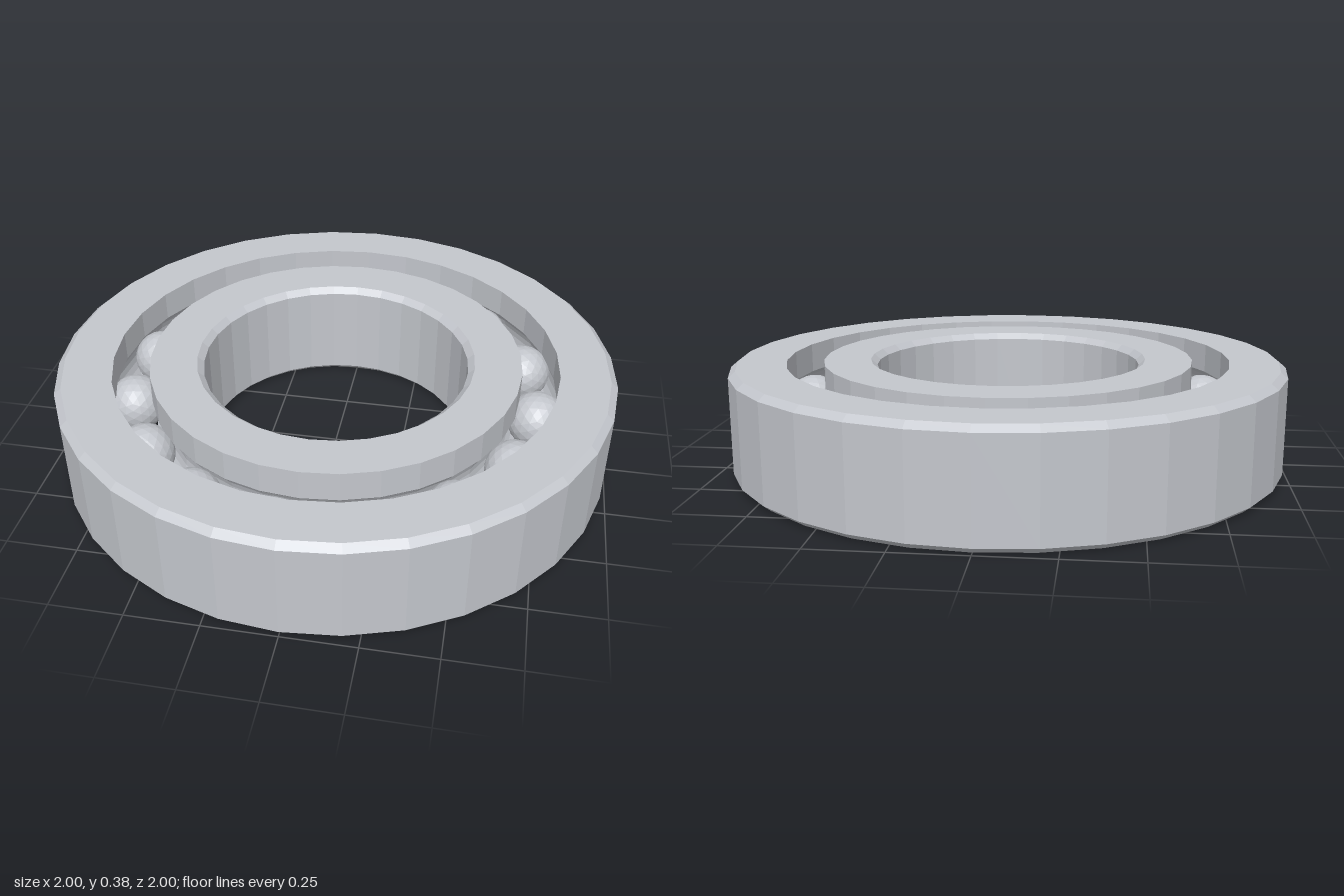
import * as THREE from 'three';

const HEIGHT = 0.384;
const MID = HEIGHT / 2;
const CHAMFER = 0.021;
const SIDES = 32;
const PITCH = 0.735; // radius of the circle the balls run on
const BALL_RADIUS = 0.104;
const BALL_COUNT = 15;
const GROOVE_RADIUS = 0.108;

// Arc of a raceway groove in profile, between two angles about the ball centre
function grooveArc(from, to, steps = 8) {
  return Array.from({ length: steps + 1 }, (_, i) => {
    const a = from + ((to - from) * i) / steps;
    return [PITCH + GROOVE_RADIUS * Math.cos(a), MID + GROOVE_RADIUS * Math.sin(a)];
  });
}

// Revolves a closed, counter-clockwise profile into a ring
function makeRing(name, profile, material) {
  const points = [...profile, profile[0]].map(([r, y]) => new THREE.Vector2(r, y));
  const mesh = new THREE.Mesh(new THREE.LatheGeometry(points, SIDES), material);
  mesh.name = name;
  return mesh;
}

export function createModel() {
  const model = new THREE.Group();
  model.name = 'ballBearing';

  const steel = new THREE.MeshStandardMaterial({ color: 0xc4c7cd });
  steel.name = 'steel';
  steel.flatShading = true;

  // Outer ring: chamfered outside, grooved inside
  const outerRace = 0.8;
  const outerAngle = Math.acos((outerRace - PITCH) / GROOVE_RADIUS);
  model.add(makeRing('outerRing', [
    [outerRace, 0],
    [0.975, 0],
    [1, CHAMFER],
    [1, HEIGHT - CHAMFER],
    [0.975, HEIGHT],
    [outerRace, HEIGHT],
    ...grooveArc(outerAngle, -outerAngle),
  ], steel));

  // Inner ring: grooved outside, chamfered bore
  const innerRace = 0.668;
  const innerAngle = Math.acos((PITCH - innerRace) / GROOVE_RADIUS);
  model.add(makeRing('innerRing', [
    [0.5, 0],
    [innerRace, 0],
    ...grooveArc(Math.PI + innerAngle, Math.PI - innerAngle),
    [innerRace, HEIGHT],
    [0.5, HEIGHT],
    [0.477, HEIGHT - CHAMFER],
    [0.477, CHAMFER],
  ], steel));

  // Balls evenly spaced in the raceway
  const balls = new THREE.Group();
  balls.name = 'balls';
  const ballGeometry = new THREE.IcosahedronGeometry(BALL_RADIUS, 3);
  for (let i = 0; i < BALL_COUNT; i++) {
    const a = (i / BALL_COUNT) * Math.PI * 2;
    const ball = new THREE.Mesh(ballGeometry, steel);
    ball.name = 'ball';
    ball.position.set(PITCH * Math.cos(a), MID, PITCH * Math.sin(a));
    ball.rotation.y = -a;
    balls.add(ball);
  }
  model.add(balls);

  return model;
}
